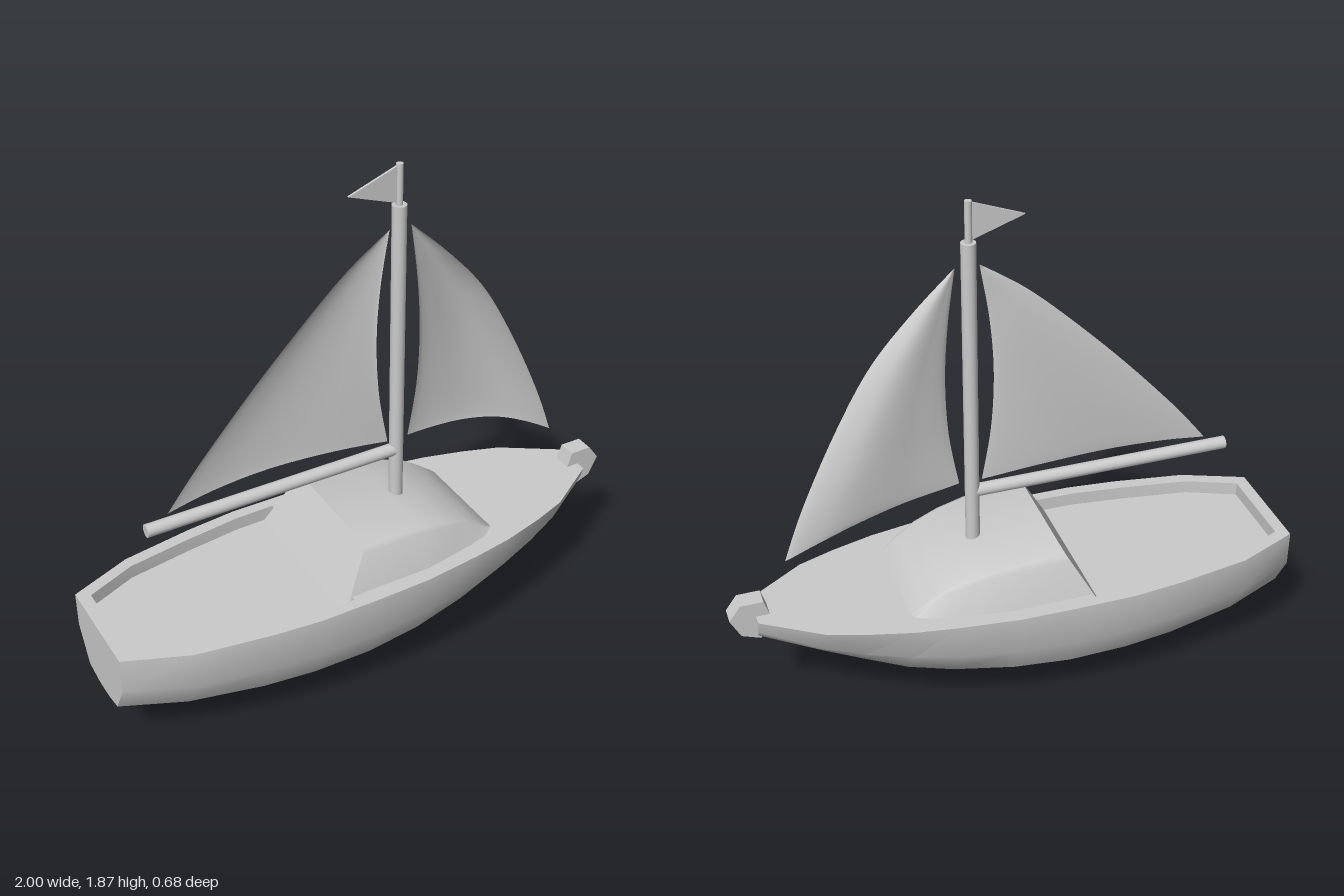
import * as THREE from 'three';
import { toCreasedNormals } from 'three/addons/utils/BufferGeometryUtils.js';
import { ParametricGeometry } from 'three/addons/geometries/ParametricGeometry.js';

const grey = new THREE.MeshStandardMaterial({ color: 0xcccccc });
const greyDouble = new THREE.MeshStandardMaterial({ color: 0xcccccc, side: THREE.DoubleSide });
const DECK = 0.48, FLOOR = 0.43;

// Skin a row of cross-sections that run along +x
function loft(sections, capped, crease) {
  const pos = [];
  const tri = (a, b, c) => pos.push(...a, ...b, ...c);
  for (let i = 0; i < sections.length - 1; i++) {
    const s = sections[i], t = sections[i + 1];
    for (let j = 0; j < s.length - 1; j++) {
      tri(s[j], s[j + 1], t[j]);
      tri(s[j + 1], t[j + 1], t[j]);
    }
  }
  if (capped) {
    const first = sections[0], last = sections[sections.length - 1];
    for (let j = 1; j < first.length - 1; j++) {
      tri(first[0], first[j + 1], first[j]);
      tri(last[0], last[j], last[j + 1]);
    }
  }
  const geo = new THREE.BufferGeometry();
  geo.setAttribute('position', new THREE.Float32BufferAttribute(pos, 3));
  geo.computeVertexNormals();
  return toCreasedNormals(geo, crease);
}

// Complete half a section with its mirror image across z
const mirrored = half => [...half, ...half.map(([x, y, z]) => [x, y, -z]).reverse()];

// Closed plan outline from [x, halfWidth] pairs
const outline = pairs => [...pairs, ...pairs.map(([x, w]) => [x, -w]).reverse()]
  .map(([x, z]) => new THREE.Vector2(x, z));

const spline = pts => new THREE.SplineCurve(pts.map(p => new THREE.Vector2(...p)));

// Sail patch: two side edges running upward and a foot running left to right
function sail(leftPts, rightPts, footPts, belly) {
  const left = spline(leftPts), right = spline(rightPts), foot = spline(footPts);
  const l0 = left.getPoint(0), r0 = right.getPoint(0);
  return new ParametricGeometry((u, v, target) => {
    const p = left.getPoint(v).lerp(right.getPoint(v), u);
    const sag = foot.getPoint(u).sub(l0.clone().lerp(r0, u)).multiplyScalar(1 - v);
    p.add(sag);
    const z = -belly * Math.sin(Math.PI * u) * Math.sin(Math.PI * (0.2 + 0.8 * v));
    target.set(p.x, p.y, z);
  }, 16, 24);
}

export function createModel() {
  const model = new THREE.Group();
  const add = (name, geo, mat = grey) => {
    const mesh = new THREE.Mesh(geo, mat);
    mesh.name = name;
    model.add(mesh);
    return mesh;
  };

  // Hull: x, deck width, then width/height of side, chine, keel root and keel foot
  const hullRows = [
    [-1.00, .19, .19, .35, .12, .225, .05, .212, .02, .21],
    [-0.78, .28, .28, .34, .20, .21, .06, .182, .02, .18],
    [-0.52, .322, .322, .335, .25, .20, .06, .15, .02, .145],
    [-0.34, .34, .34, .33, .272, .20, .07, .145, .03, .003],
    [-0.13, .34, .34, .33, .275, .20, .075, .145, .035, .003],
    [0.07, .335, .33, .335, .26, .21, .072, .15, .035, .03],
    [0.28, .31, .30, .345, .22, .225, .065, .165, .03, .09],
    [0.43, .285, .265, .355, .18, .245, .05, .19, .025, .155],
    [0.58, .245, .215, .37, .13, .285, .04, .272, .02, .268],
    [0.71, .20, .165, .39, .09, .325, .035, .315, .015, .312],
    [0.91, .07, .055, .43, .035, .40, .02, .39, .01, .386],
  ];
  add('hull', loft(hullRows.map(([x, w, ...r]) => mirrored([
    [x, DECK, w], [x, r[1], r[0]], [x, r[3], r[2]], [x, r[5], r[4]], [x, r[7], r[6]],
  ])), true, 0.65));

  // Deck with an open cockpit aft
  const cockpit = outline([[-.955, .16], [-.78, .235], [-.55, .272], [-.35, .297], [-.2, .3]]);
  const deckShape = new THREE.Shape(outline(hullRows.map(([x, w]) => [x, w])));
  deckShape.holes.push(new THREE.Path(cockpit));
  add('deck', new THREE.ShapeGeometry(deckShape).rotateX(-Math.PI / 2).translate(0, DECK, 0));
  add('cockpitFloor', new THREE.ShapeGeometry(new THREE.Shape(cockpit))
    .rotateX(-Math.PI / 2).translate(0, FLOOR, 0));
  const rim = [...cockpit, cockpit[0]];
  add('cockpitWalls', loft(rim.map(p => [[p.x, DECK, p.y], [p.x, FLOOR, p.y]]), false, 0.3), greyDouble);

  // Cabin: base x, base y, base width, top x, top y, top width
  const cabinRows = [
    [-.235, .43, .30, -.12, .635, .21],
    [.10, .47, .285, .10, .622, .21],
    [.20, .47, .268, .20, .60, .205],
    [.30, .47, .25, .29, .568, .195],
    [.37, .47, .235, .355, .525, .19],
    [.42, .47, .21, .415, .48, .18],
  ];
  add('cabin', loft(cabinRows.map(([bx, by, bw, tx, ty, tw]) => {
    const h = ty - by, out = (bw - tw) * 0.36;
    return mirrored([
      [bx, by, -bw],
      [bx + (tx - bx) * 0.86, by + h * 0.86, -tw - out],
      [bx + (tx - bx) * 0.96, by + h * 0.96, -tw - out * 0.6],
      [tx, ty, -tw],
    ]);
  }), true, 0.7));

  // Bow fitting
  const bow = new THREE.Shape([[.86, .47], [.88, .535], [.96, .535], [1, .48], [.965, .41], [.90, .385]]
    .map(p => new THREE.Vector2(...p)));
  add('bowFitting', new THREE.ExtrudeGeometry(bow, { depth: 0.066, bevelEnabled: false })
    .translate(0, 0, -0.033));

  // Mast, boom and flagpole
  const spar = (name, r, length, x, y) => {
    const mesh = add(name, new THREE.CylinderGeometry(r, r, length, 16));
    mesh.position.set(x, y, 0);
    return mesh;
  };
  spar('mast', 0.025, 1.15, 0.135, 1.155);
  spar('flagPole', 0.012, 0.15, 0.134, 1.795);
  spar('boom', 0.023, 0.93, -0.335, 0.80).rotation.z = Math.PI / 2;

  // Pennant
  const flag = new THREE.Shape([[-.05, 1.80], [.134, 1.735], [.134, 1.868]].map(p => new THREE.Vector2(...p)));
  add('flag', new THREE.ExtrudeGeometry(flag, { depth: 0.008, bevelEnabled: false }).translate(0, 0, -0.004));

  // Sails
  add('mainsail', sail(
    [[-.72, .84], [-.6, .99], [-.4, 1.21], [-.2, 1.41], [-.05, 1.545], [.1, 1.65]],
    [[.1, .84], [.066, 1.04], [.055, 1.25], [.068, 1.45], [.1, 1.65]],
    [[-.72, .84], [-.55, .865], [-.34, .875], [-.1, .862], [.1, .84]], 0.025), greyDouble);
  add('foresail', sail(
    [[.18, .84], [.212, 1.04], [.22, 1.25], [.207, 1.45], [.18, 1.65]],
    [[.79, .66], [.72, .85], [.6, 1.11], [.47, 1.34], [.325, 1.51], [.18, 1.65]],
    [[.18, .84], [.38, .818], [.55, .775], [.68, .72], [.79, .66]], 0.05), greyDouble);

  return model;
}
